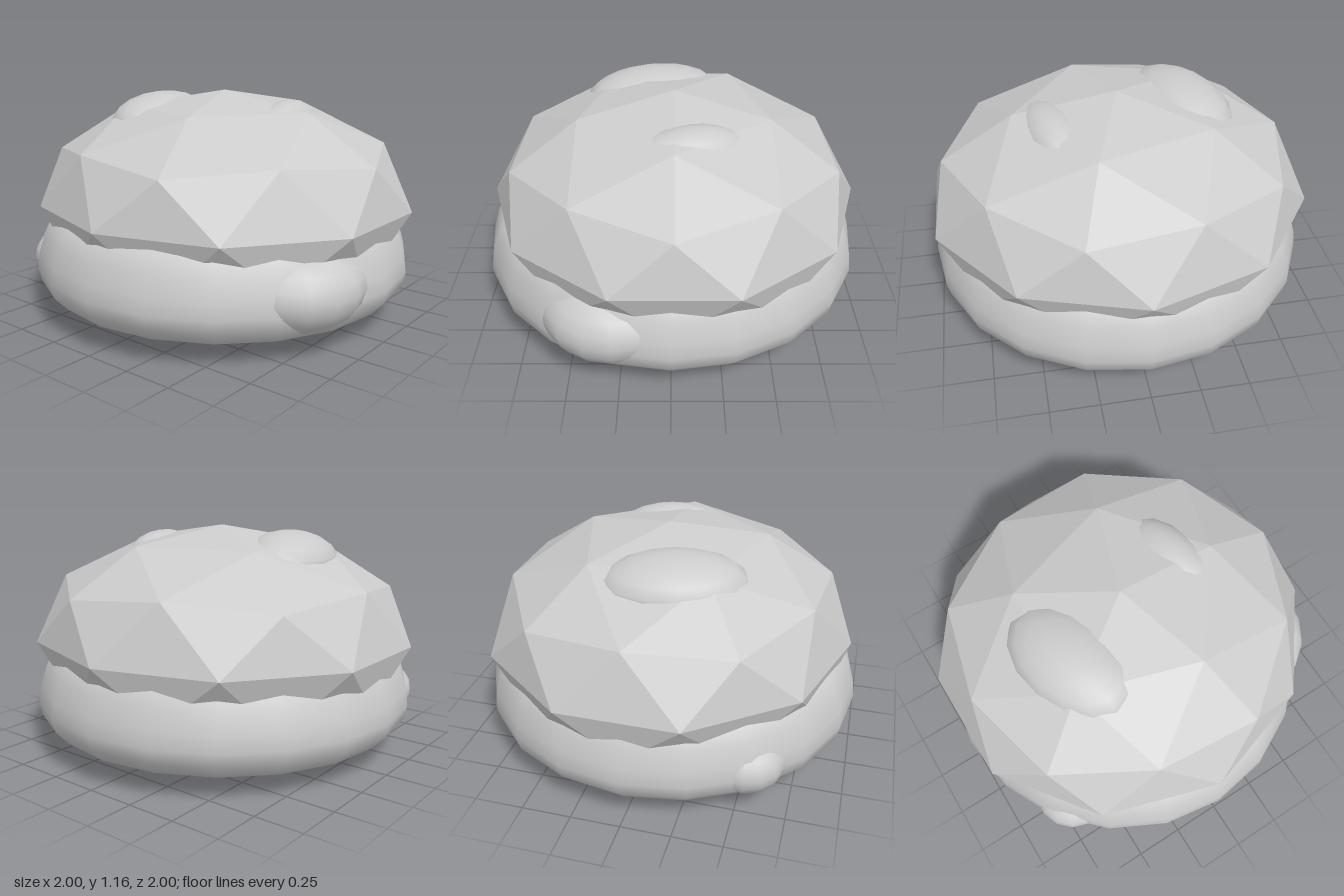
import * as THREE from 'three';

export function createModel() {
  const group = new THREE.Group();
  const grey = new THREE.MeshStandardMaterial({ color: 0xcccccc });
  grey.name = 'plain grey';

  const add = (name, geometry) => {
    const mesh = new THREE.Mesh(geometry, grey);
    mesh.name = name;
    group.add(mesh);
    return mesh;
  };

  // Faceted dome: squashed icosphere standing on one of its corners
  const dome = new THREE.IcosahedronGeometry(1, 1);
  dome.rotateZ(-Math.atan(2 / (1 + Math.sqrt(5))));
  dome.scale(1.015, 0.58, 0.968);
  dome.translate(0, 0.58, -0.015);
  dome.computeVertexNormals(); // unshared corners keep the facets flat
  add('dome', dome);

  // Smooth rounded base bulging out below the dome
  const profile = [
    [0, 0.055], [0.3, 0.055], [0.6, 0.058], [0.78, 0.07], [0.92, 0.12], [0.985, 0.19],
    [1, 0.26], [0.99, 0.34], [0.96, 0.44], [0.915, 0.52], [0.83, 0.58], [0.6, 0.62],
  ].map(([r, y]) => new THREE.Vector2(r, y));
  add('base', new THREE.LatheGeometry(profile, 20));

  // Soft lumps: two on the dome, two on the sides of the base
  const lumps = [
    ['leftTopLump', [0.35, 0.985, -0.1], [0.15, 0.135, 0.29], 0.25, -0.12],
    ['rightTopLump', [-0.36, 0.99, 0.1], [0.24, 0.15, 0.37], 0.3, 0.1],
    ['leftBaseLump', [0.74, 0.31, 0.32], [0.25, 0.2, 0.32], -0.35, 0],
    ['rightBaseLump', [-0.66, 0.26, 0.53], [0.19, 0.15, 0.2], 0.6, 0],
  ];
  for (const [name, position, radii, turn, tilt] of lumps) {
    const lump = add(name, new THREE.SphereGeometry(1, 14, 10));
    lump.position.set(...position);
    lump.scale.set(...radii);
    lump.rotation.set(0, turn, tilt);
  }

  return group;
}
